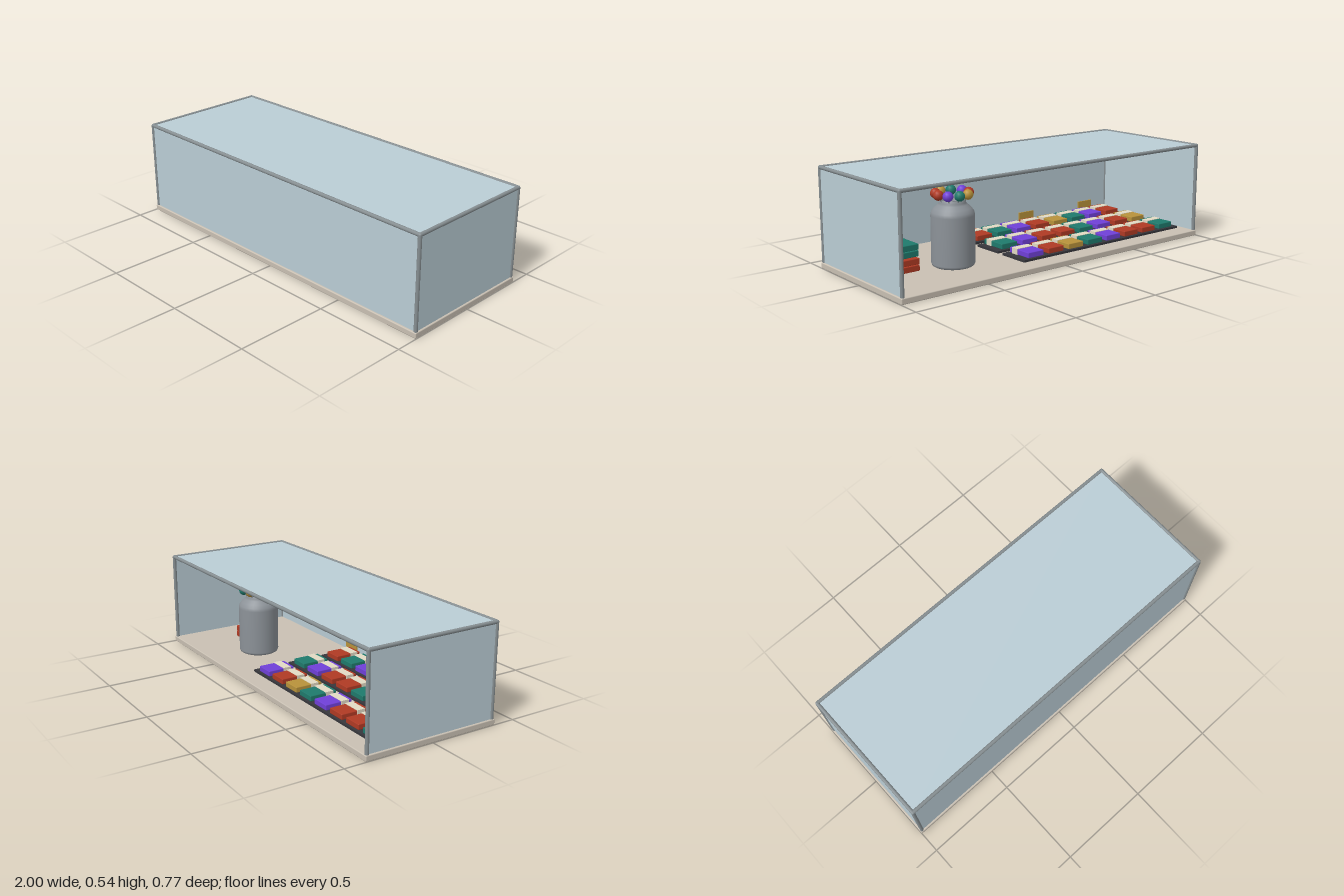
import * as THREE from 'three';
import { RoundedBoxGeometry } from 'three/addons/geometries/RoundedBoxGeometry.js';

const material = (name, color, extra = {}) => {
  const m = new THREE.MeshStandardMaterial({ color, ...extra });
  m.name = name;
  return m;
};

export function createModel() {
  const glass = material('pale glass', 0xbacdd5);
  const metal = material('frame grey', 0x868e91);
  const stone = material('counter beige', 0xc9c0b3);
  const steel = material('jar grey', 0x8c9298);
  const dark = material('tray charcoal', 0x37373c);
  const red = material('red', 0xb03a24);
  const purple = material('purple', 0x7040d8);
  const teal = material('teal', 0x1f7a6c);
  const gold = material('gold', 0xb8923a);
  const cream = material('cream', 0xe2dac4);

  const root = new THREE.Group();
  root.name = 'displayCase';

  const add = (parent, name, geometry, mat, x, y, z) => {
    const mesh = new THREE.Mesh(geometry, mat);
    mesh.name = name;
    mesh.position.set(x, y, z);
    parent.add(mesh);
    return mesh;
  };
  const box = (parent, name, w, h, d, mat, x, y, z) =>
    add(parent, name, new THREE.BoxGeometry(w, h, d), mat, x, y, z);
  const group = (name, x = 0, y = 0, z = 0) => {
    const g = new THREE.Group();
    g.name = name;
    g.position.set(x, y, z);
    root.add(g);
    return g;
  };

  // Base slab
  const FLOOR = 0.031;
  add(root, 'base', new RoundedBoxGeometry(2, FLOOR, 0.766, 2, 0.005), stone, 0, FLOOR / 2, 0);

  // Tubular frame: four posts and four top rails
  const R = 0.01, X = 0.988, Z = 0.37, TOP = 0.525;
  const frame = group('frame');
  for (const sx of [-1, 1]) {
    for (const sz of [-1, 1]) {
      add(frame, 'post', new THREE.CylinderGeometry(R, R, TOP - FLOOR, 12), metal,
        sx * X, (TOP + FLOOR) / 2, sz * Z);
      add(frame, 'corner', new THREE.SphereGeometry(R, 12, 8), metal, sx * X, TOP, sz * Z);
    }
    add(frame, 'sideRail', new THREE.CylinderGeometry(R, R, 2 * Z, 12), metal, sx * X, TOP, 0)
      .rotation.x = Math.PI / 2;
    add(frame, 'longRail', new THREE.CylinderGeometry(R, R, 2 * X, 12), metal, 0, TOP, sx * Z)
      .rotation.z = Math.PI / 2;
  }

  // Panes on the front, both sides and top; the back stays open
  const panes = group('panes');
  const paneH = TOP - FLOOR, paneY = (TOP + FLOOR) / 2;
  box(panes, 'frontPane', 2 * X, paneH, 0.006, glass, 0, paneY, Z);
  box(panes, 'topPane', 2 * X, 0.006, 2 * Z, glass, 0, TOP, 0);
  for (const sx of [-1, 1]) box(panes, 'sidePane', 0.006, paneH, 2 * Z, glass, sx * X, paneY, 0);

  // Jar with shoulders and an open neck
  const jar = group('lollipopJar', 0.5, FLOOR, -0.08);
  const profile = [
    [0, 0], [0.1, 0], [0.108, 0.005], [0.112, 0.016], [0.112, 0.262], [0.108, 0.28],
    [0.095, 0.298], [0.075, 0.315], [0.068, 0.325], [0.068, 0.342], [0.06, 0.342], [0.06, 0.3], [0, 0.3],
  ].map(([x, y]) => new THREE.Vector2(x, y));
  add(jar, 'jarBody', new THREE.LatheGeometry(profile, 32), steel, 0, 0, 0);

  // Ring of nine lollipops leaning out of the neck
  const candy = [red, purple, teal, gold];
  const up = new THREE.Vector3(0, 1, 0);
  for (let i = 0; i < 9; i++) {
    const a = (i * 40 * Math.PI) / 180;
    const dir = new THREE.Vector3(Math.cos(a), 0, -Math.sin(a));
    const foot = dir.clone().multiplyScalar(0.04).setY(0.29);
    const head = dir.clone().multiplyScalar(0.085).setY(0.37);
    const span = head.clone().sub(foot);
    const mid = foot.clone().add(head).multiplyScalar(0.5);
    add(jar, 'stick', new THREE.CylinderGeometry(0.004, 0.004, span.length(), 6), metal, mid.x, mid.y, mid.z)
      .quaternion.setFromUnitVectors(up, span.normalize());
    add(jar, 'lollipop', new THREE.SphereGeometry(0.027, 10, 7), candy[i % 4], head.x, head.y, head.z);
  }

  // Three trays of wrapped bars, each with a paper band
  const rows = [
    [purple, red, gold, teal, purple, red, red, teal],
    [teal, purple, red, red, teal, purple, red, gold],
    [red, teal, purple, red, gold, teal, purple, red],
  ];
  rows.forEach((colours, r) => {
    const row = group('barTray', 0, FLOOR, -0.19 + r * 0.22);
    box(row, 'tray', 1.15, 0.012, 0.18, dark, -0.375, 0.006, 0);
    colours.forEach((colour, i) => {
      const x = 0.11 - i * 0.139;
      add(row, 'bar', new RoundedBoxGeometry(0.105, 0.03, 0.155, 1, 0.004), colour, x, 0.027, 0);
      box(row, 'paperBand', 0.108, 0.033, 0.045, cream, x, 0.028, 0.035);
    });
  });

  // Upright price cards in front of the last tray
  for (let i = 0; i < 3; i++) {
    const card = group('priceCard', 0.15 - i * 0.467, FLOOR, 0.335);
    box(card, 'card', 0.105, 0.058, 0.008, gold, 0, 0.05, 0);
    box(card, 'cardFoot', 0.06, 0.022, 0.014, dark, 0, 0.011, 0);
  }

  // Short stack of spare bars beside the jar
  const stack = group('barStack', 0.745, FLOOR, 0.01);
  [red, red, teal, teal].forEach((colour, i) => {
    add(stack, 'stackedBar', new RoundedBoxGeometry(0.105, 0.032, 0.155, 1, 0.004), colour,
      i > 1 ? -0.008 : 0, 0.017 + i * 0.034, i > 1 ? 0.02 : 0);
  });

  return root;
}
